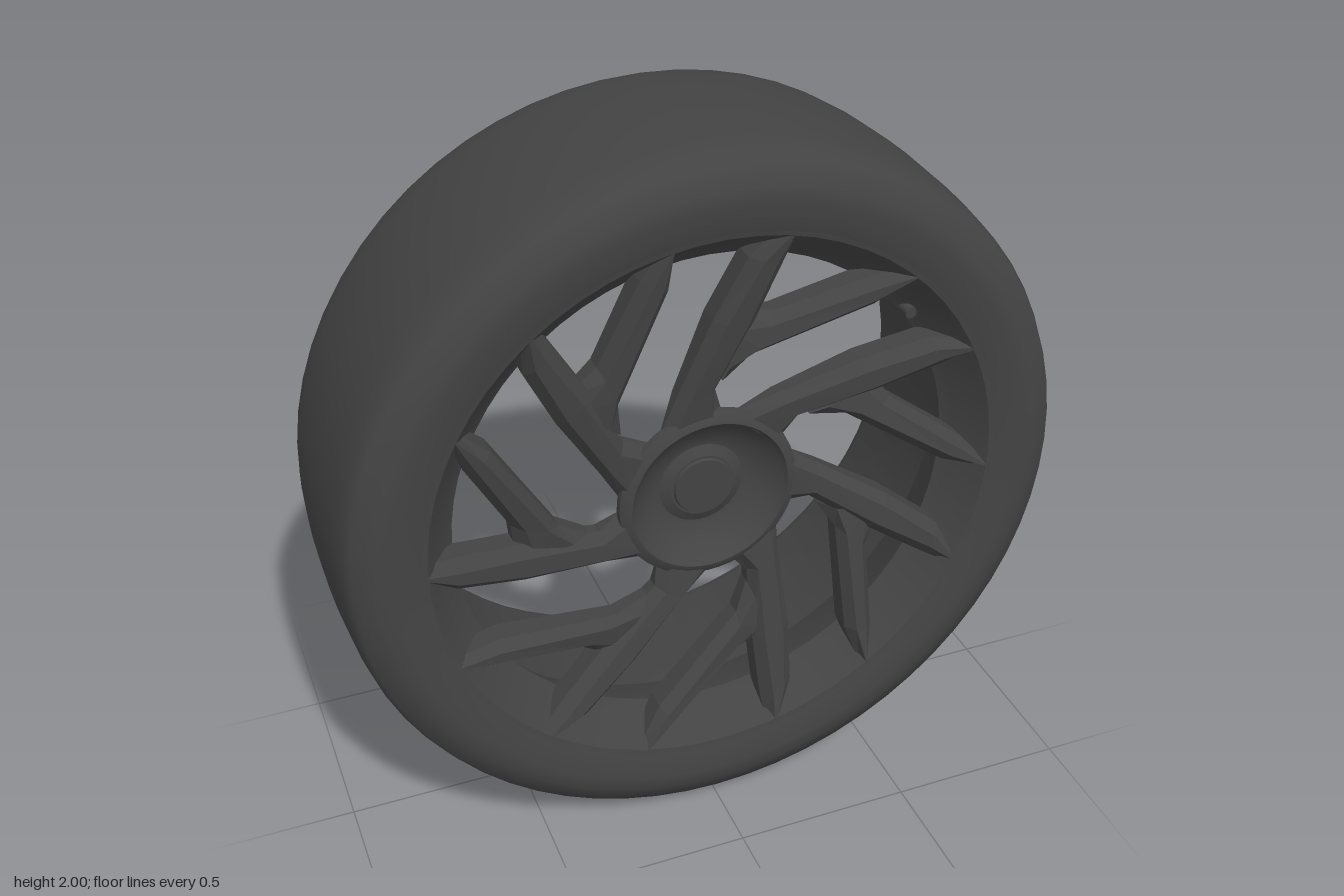
import * as THREE from 'three';
import { toCreasedNormals } from 'three/addons/utils/BufferGeometryUtils.js';

const charcoal = new THREE.MeshStandardMaterial({ color: 0x434343, side: THREE.DoubleSide });
charcoal.name = 'charcoal';

const SPOKE_PAIRS = 7;

// Revolves [radius, z] points about the z axis.
function revolve(name, profile, crease = 0, segments = 64) {
  const points = profile.map(([r, z]) => new THREE.Vector2(r, z));
  let geometry = new THREE.LatheGeometry(points, segments).rotateX(Math.PI / 2);
  if (crease) geometry = toCreasedNormals(geometry, crease);
  const mesh = new THREE.Mesh(geometry, charcoal);
  mesh.name = name;
  return mesh;
}

// Lofts a ridged spoke; each section has left and right edges, front and back z, and crest inset.
function spokeGeometry(sections) {
  const loops = sections.map(({ l, r, front, back, inset }) => {
    const left = new THREE.Vector2(...l), right = new THREE.Vector2(...r);
    const crestL = left.clone().lerp(right, inset), crestR = right.clone().lerp(left, inset);
    const shoulder = front - 0.03;
    return [
      [crestL.x, crestL.y, front], [crestR.x, crestR.y, front],
      [right.x, right.y, shoulder], [right.x, right.y, back],
      [left.x, left.y, back], [left.x, left.y, shoulder],
    ];
  });
  const positions = [];
  for (let i = 0; i < loops.length - 1; i++) {
    for (let j = 0; j < 6; j++) {
      const k = (j + 1) % 6;
      const a = loops[i][j], b = loops[i][k], c = loops[i + 1][k], d = loops[i + 1][j];
      positions.push(...a, ...b, ...c, ...a, ...c, ...d);
    }
  }
  const geometry = new THREE.BufferGeometry();
  geometry.setAttribute('position', new THREE.Float32BufferAttribute(positions, 3));
  geometry.computeVertexNormals();
  return geometry;
}

export function createModel() {
  const model = new THREE.Group();
  model.name = 'wheel';
  const wheel = new THREE.Group();
  wheel.name = 'wheelAssembly';
  wheel.position.y = 1;
  model.add(wheel);

  // Tyre tread and front sidewall, with rounded shoulders
  wheel.add(revolve('tyreTread', [
    [0.957, -0.314], [0.968, -0.304], [0.984, -0.265], [0.992, -0.2], [0.998, -0.1], [1, 0],
    [0.998, 0.1], [0.992, 0.2], [0.984, 0.265], [0.966, 0.306],
    [0.91, 0.334], [0.87, 0.335], [0.82, 0.329], [0.785, 0.318],
  ]));

  // Flat back sidewall meeting the tread at a sharp edge
  wheel.add(revolve('tyreBackSidewall', [
    [0.785, -0.33], [0.795, -0.336], [0.85, -0.337], [0.91, -0.336], [0.957, -0.314],
  ]));

  // Rim barrel: straight wall, cone to the throat, then the front lip
  wheel.add(revolve('rimBarrel', [
    [0.785, -0.33], [0.778, -0.31], [0.76, 0.05], [0.697, 0.18], [0.69, 0.205],
    [0.715, 0.228], [0.765, 0.3], [0.78, 0.318], [0.795, 0.321],
  ], 0.3));

  // Dished hub shell with a conical back
  wheel.add(revolve('hubDish', [
    [0.118, 0.165], [0.13, 0.167], [0.17, 0.188], [0.21, 0.222], [0.22, 0.238],
    [0.228, 0.236], [0.25, 0.222], [0.252, 0.205], [0.245, 0.195], [0.15, 0.17], [0.118, 0.16],
  ], 0.35, 48));

  // Thin centre cap
  wheel.add(revolve('centreCapBack', [
    [0, 0.178], [0.074, 0.178], [0.08, 0.163], [0.118, 0.16],
  ], 0.4, 32));
  wheel.add(revolve('centreCapFace', [
    [0.118, 0.165], [0.09, 0.178], [0.083, 0.178], [0.08, 0.185], [0, 0.185],
  ], 0.4, 32));

  // Swept main spokes and their branches, both tapering to points at the rim
  const mainSpoke = spokeGeometry([
    { l: [-0.135, 0.185], r: [0.045, 0.225], front: 0.225, back: 0.2, inset: 0.2 },
    { l: [-0.085, 0.31], r: [0.018, 0.31], front: 0.24, back: 0.175, inset: 0.25 },
    { l: [-0.005, 0.53], r: [0.102, 0.5], front: 0.275, back: 0.185, inset: 0.25 },
    { l: [0.075, 0.7], r: [0.17, 0.68], front: 0.302, back: 0.21, inset: 0.32 },
    { l: [0.16, 0.778], r: [0.2, 0.773], front: 0.32, back: 0.24, inset: 0.46 },
  ]);
  const branchSpoke = spokeGeometry([
    { l: [0.055, 0.535], r: [0.035, 0.335], front: 0.248, back: 0.185, inset: 0.25 },
    { l: [0.165, 0.52], r: [0.105, 0.405], front: 0.262, back: 0.185, inset: 0.25 },
    { l: [0.41, 0.588], r: [0.425, 0.508], front: 0.302, back: 0.21, inset: 0.32 },
    { l: [0.512, 0.596], r: [0.532, 0.577], front: 0.32, back: 0.24, inset: 0.46 },
  ]);
  for (let i = 0; i < SPOKE_PAIRS; i++) {
    const pair = new THREE.Group();
    pair.name = `spokePair${i + 1}`;
    pair.rotation.z = (i * Math.PI * 2) / SPOKE_PAIRS;
    const main = new THREE.Mesh(mainSpoke, charcoal);
    main.name = 'mainSpoke';
    const branch = new THREE.Mesh(branchSpoke, charcoal);
    branch.name = 'branchSpoke';
    pair.add(main, branch);
    wheel.add(pair);
  }

  // Valve stem
  const valve = new THREE.Mesh(new THREE.CylinderGeometry(0.016, 0.02, 0.08, 12), charcoal);
  valve.name = 'valveStem';
  valve.rotation.x = Math.PI / 2;
  valve.position.set(0.545, 0.445, 0.21);
  wheel.add(valve);

  return model;
}
